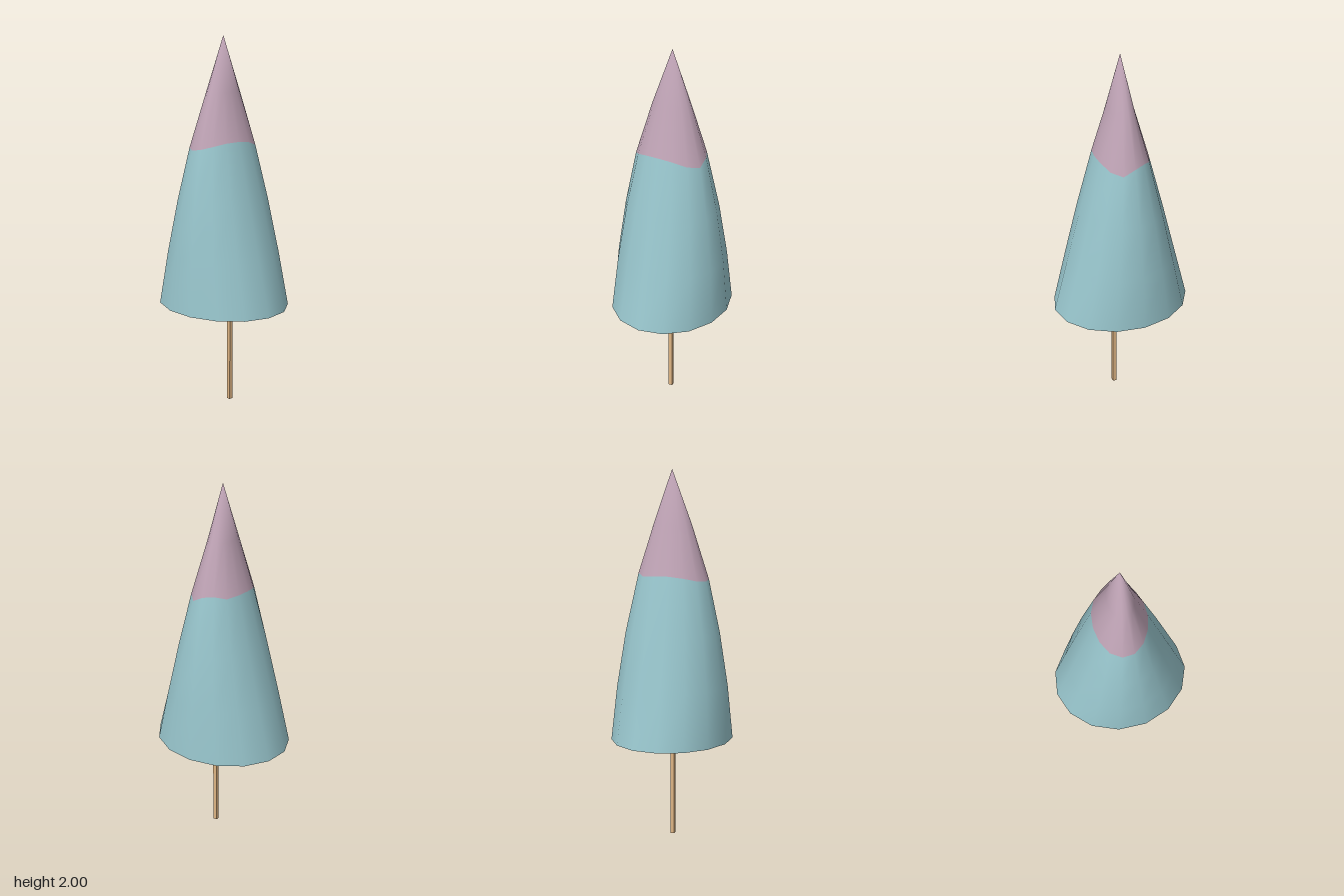
import * as THREE from 'three';

const SIDES = 15;
const CENTRE_X = -0.004;
// profile rings: height, half width, half depth
const RINGS = [
  [0.56, 0.325, 0.38],
  [0.85, 0.299, 0.302],
  [1.14, 0.256, 0.226],
  [1.425, 0.197, 0.149],
  [1.71, 0.106, 0.066],
  [2.0, 0, 0],
];
// wavy colour border, one height per side
const BORDER = [1.445, 1.412, 1.425, 1.45, 1.46, 1.457, 1.442, 1.425, 1.415, 1.42, 1.435, 1.445, 1.445, 1.44, 1.455];

// ellipse radii of the profile at a given height
function radiiAt(y) {
  let k = 0;
  while (k < RINGS.length - 2 && y > RINGS[k + 1][0]) k++;
  const [a, b] = [RINGS[k], RINGS[k + 1]];
  const t = (y - a[0]) / (b[0] - a[0]);
  return [a[1] + (b[1] - a[1]) * t, a[2] + (b[2] - a[2]) * t];
}

// tapering body; the ring at the colour border follows the wave
function canopyGeometry() {
  const positions = [];
  const index = [];
  const rows = RINGS.length - 1;
  for (let r = 0; r < rows; r++) {
    for (let i = 0; i < SIDES; i++) {
      const y = r === 3 ? BORDER[i] : RINGS[r][0];
      const [rx, rz] = radiiAt(y);
      const angle = (i / SIDES) * Math.PI * 2;
      positions.push(CENTRE_X + rx * Math.cos(angle), y, rz * Math.sin(angle));
    }
  }
  const apex = rows * SIDES;
  positions.push(-0.002, 2, 0);

  let lowerCount = 0;
  for (let r = 0; r < rows; r++) {
    if (r === 3) lowerCount = index.length;
    for (let i = 0; i < SIDES; i++) {
      const a = r * SIDES + i;
      const b = r * SIDES + ((i + 1) % SIDES);
      if (r === rows - 1) index.push(b, a, apex);
      else index.push(b, a, a + SIDES, b, a + SIDES, b + SIDES);
    }
  }
  const geometry = new THREE.BufferGeometry();
  geometry.setAttribute('position', new THREE.Float32BufferAttribute(positions, 3));
  geometry.setIndex(index);
  geometry.addGroup(0, lowerCount, 0);
  geometry.addGroup(lowerCount, index.length - lowerCount, 1);
  geometry.computeVertexNormals();
  return geometry;
}

export function createModel() {
  const group = new THREE.Group();
  const material = (name, color) => {
    const m = new THREE.MeshStandardMaterial({ color });
    m.name = name;
    return m;
  };
  const teal = material('pale teal', 0x97c4cb);
  const pink = material('dusty pink', 0xc0a4b6);
  const wood = material('light wood', 0xdeb483);

  const add = (name, geometry, mat, x, y, z) => {
    const mesh = new THREE.Mesh(geometry, mat);
    mesh.name = name;
    mesh.position.set(x, y, z);
    group.add(mesh);
  };

  add('canopy', canopyGeometry(), [teal, pink], 0, 0, 0);

  // flat underside
  const base = new THREE.CircleGeometry(1, SIDES).rotateX(Math.PI / 2).scale(RINGS[0][1], 1, RINGS[0][2]);
  add('canopyBase', base, teal, CENTRE_X, RINGS[0][0], 0);

  // small painted spot underneath
  const spot = new THREE.CircleGeometry(0.03, 8).rotateX(Math.PI / 2);
  add('undersideSpot', spot, pink, -0.125, RINGS[0][0] - 0.002, -0.255);

  add('stick', new THREE.BoxGeometry(0.022, 0.58, 0.022), wood, 0.007, 0.29, 0.042);
  return group;
}
